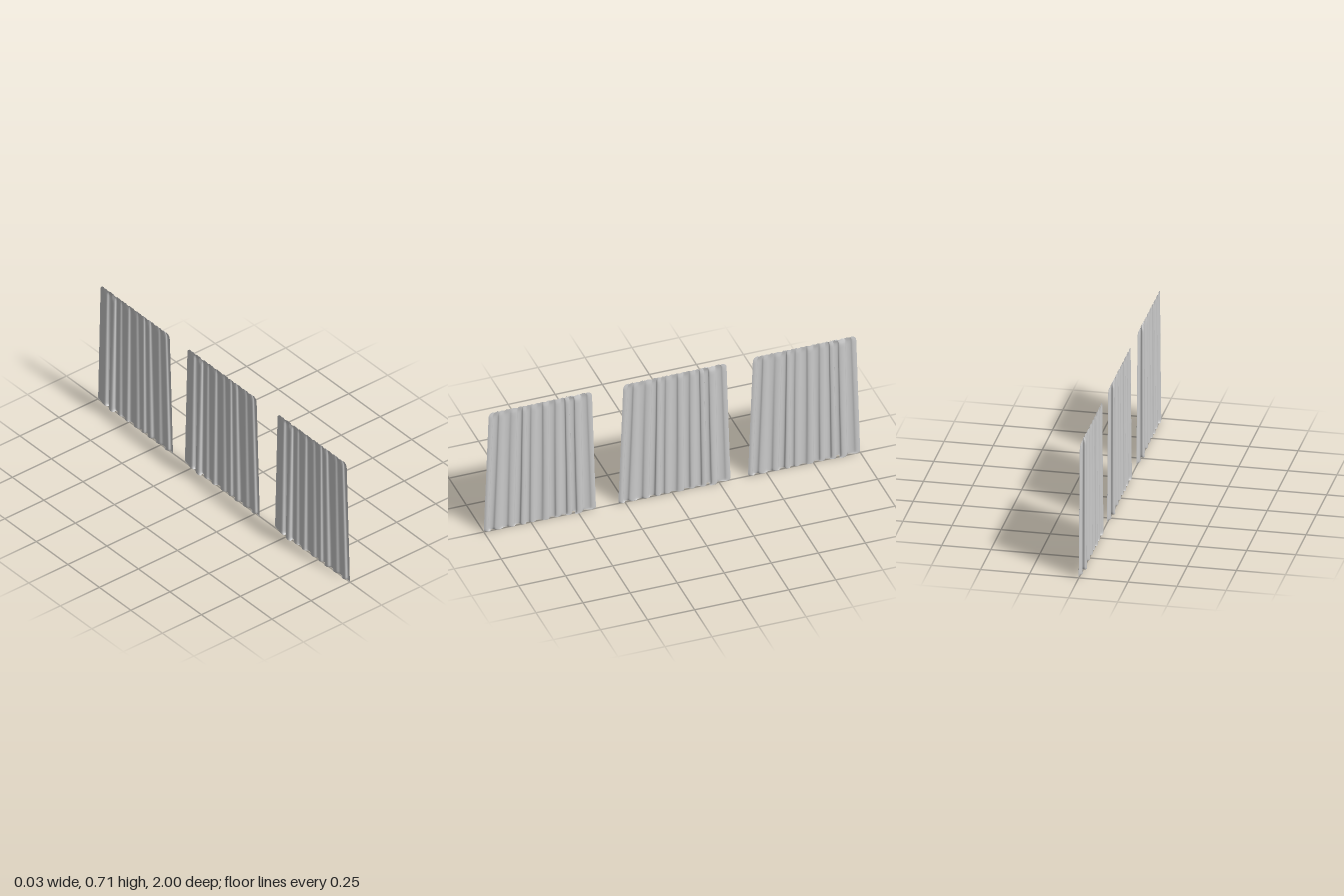
import * as THREE from 'three';

const HEIGHT = 0.715;
const FOLDS = 9.5;
const material = new THREE.MeshStandardMaterial({ color: 0xcccccc, side: THREE.DoubleSide });

// how far a rounded corner of radius r cuts in at distance d from the end
const cornerInset = (d, r) => (d < r ? r - Math.sqrt(r * r - (r - d) ** 2) : 0);

// One pleated cloth: a fine grid bent into S-shaped folds, fanning out downwards
function curtainGeometry() {
  const geometry = new THREE.PlaneGeometry(1, 1, 200, 32);
  const p = geometry.attributes.position;
  for (let i = 0; i < p.count; i++) {
    const u = p.getX(i) + 0.5;
    const t = p.getY(i) + 0.5;
    const v = t * t * (3 - 2 * t); // rows crowd towards hem and top
    let y = v * HEIGHT;

    // tapered outline with rounded corners
    const half = THREE.MathUtils.lerp(0.298, 0.274, v)
      - cornerInset(y, 0.012) - cornerInset(HEIGHT - y, 0.025);
    const middle = -0.0025 * v;

    // uneven folds, with one deep overlapping fold near the back edge
    const phase = Math.PI * 2 * FOLDS * (u + 0.012 * Math.sin(u * 17) + 0.004 * Math.sin(u * 31 + v * 2));
    const deep = Math.exp(-(((u - 0.82) / 0.06) ** 2));
    const edge = Math.min(1, u / 0.05, (1 - u) / 0.05);
    const uneven = 0.8 + 0.2 * Math.sin(u * 23 + 1);
    const pinch = 1 - 0.7 * THREE.MathUtils.smoothstep(v, 0.96, 1);
    const depth = (0.0085 * uneven + 0.008 * deep) * (1 - 0.35 * v) * pinch * (0.4 + 0.6 * edge);
    const overlap = (0.0035 * uneven + 0.005 * deep) * edge;

    // gently scalloped top edge
    y -= 0.004 * (1 - Math.cos(phase * 2)) * 0.5 * THREE.MathUtils.smoothstep(v, 0.93, 1);

    const z = middle + half * (1 - 2 * u) + overlap * Math.sin(2 * phase);
    p.setXYZ(i, depth * Math.sin(phase) - 0.001, y, z);
  }
  geometry.computeVertexNormals();
  return geometry;
}

export function createModel() {
  const group = new THREE.Group();
  group.name = 'curtains';
  const geometry = curtainGeometry();
  const panels = { frontCurtain: 0.702, middleCurtain: -0.013, backCurtain: -0.702 };
  for (const [name, z] of Object.entries(panels)) {
    const curtain = new THREE.Mesh(geometry, material);
    curtain.name = name;
    curtain.position.z = z;
    group.add(curtain);
  }
  return group;
}
